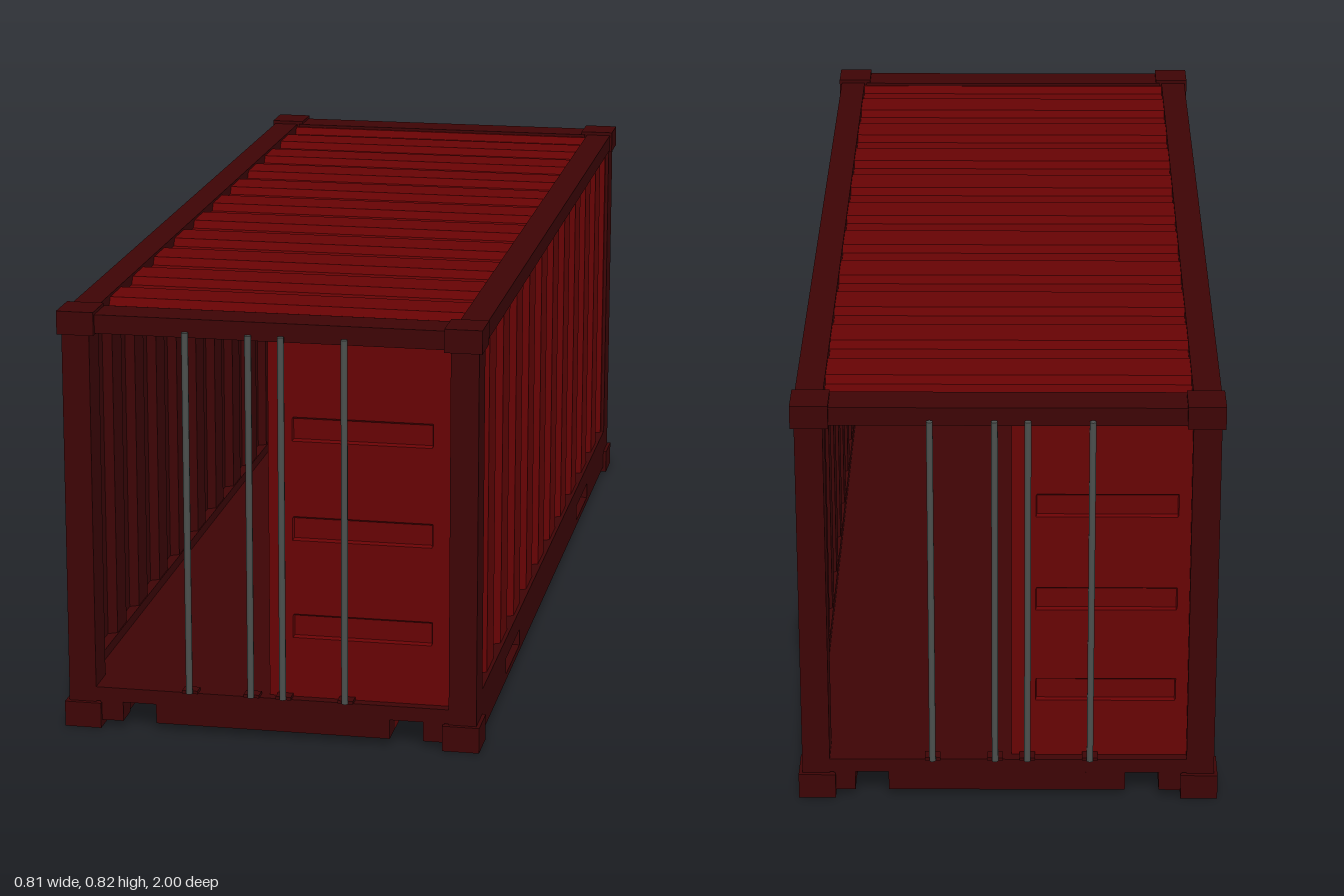
import * as THREE from 'three';

const mat = (name, color, side = THREE.FrontSide) => {
  const m = new THREE.MeshStandardMaterial({ color, side });
  m.name = name;
  return m;
};

export function createModel() {
  const red = mat('panel red', 0x670304, THREE.DoubleSide);
  const dark = mat('frame maroon', 0x3d0405, THREE.DoubleSide);
  const steel = mat('steel grey', 0x4b4f4d);
  const root = new THREE.Group();
  root.name = 'shippingContainer';

  const add = (name, geo, material, parent = root, x = 0, y = 0, z = 0) => {
    const m = new THREE.Mesh(geo, material);
    m.name = name;
    m.position.set(x, y, z);
    parent.add(m);
    return m;
  };
  // box given by its limits on each axis
  const box = (name, material, [x0, x1], [y0, y1], [z0, z1], parent = root) =>
    add(name, new THREE.BoxGeometry(x1 - x0, y1 - y0, z1 - z0), material, parent,
      (x0 + x1) / 2, (y0 + y1) / 2, (z0 + z1) / 2);
  const span = (s, a, b) => (s > 0 ? [a, b] : [-b, -a]);

  // trapezoid corrugation along z: [z, height], 1 on the ribs and 0 in the valleys
  const profile = [[-0.94, 1]];
  for (let k = 0; k <= 10; k++) {
    const z = -0.9 + k * 0.1722;
    profile.push([z - 0.005, 1], [z + 0.005, 0], [z + 0.075, 0], [z + 0.085, 1]);
  }
  profile.push([0.94, 1]);

  // sheet swept between two edges; place(t, z, h) gives the point, t = 0 or 1
  const sheet = (place) => {
    const pos = [];
    for (let i = 0; i < profile.length - 1; i++) {
      const [a, b] = [profile[i], profile[i + 1]];
      const p = [place(0, ...a), place(0, ...b), place(1, ...b), place(1, ...a)];
      for (const j of [0, 1, 2, 0, 2, 3]) pos.push(...p[j]);
    }
    const g = new THREE.BufferGeometry();
    g.setAttribute('position', new THREE.Float32BufferAttribute(pos, 3));
    g.computeVertexNormals();
    return g;
  };

  // each corrugated sheet is red outside, with a dark lining just inside it
  const panel = (name, place, dx, dy) => {
    const geo = sheet(place);
    add(name, geo, red);
    add(name + 'Lining', geo, dark, root, dx, dy);
  };
  panel('roof', (t, z, h) => [-0.35 + 0.7 * t, 0.795 + 0.015 * h, z], 0, -0.004);
  panel('leftWall', (t, z, h) => [0.372 + 0.017 * h, 0.78 - 0.7 * t, z], -0.004, 0);
  panel('rightWall', (t, z, h) => [-0.372 - 0.017 * h, 0.08 + 0.7 * t, z], 0.004, 0);

  // bottom side rail with two fork pockets cut through
  const railShape = new THREE.Shape();
  railShape.moveTo(-0.93, 0.012).lineTo(0.93, 0.012).lineTo(0.93, 0.1).lineTo(-0.93, 0.1).closePath();
  for (const c of [-0.525, 0.525]) {
    const h = new THREE.Path();
    h.moveTo(c - 0.09, 0.025).lineTo(c - 0.09, 0.058).lineTo(c + 0.09, 0.058).lineTo(c + 0.09, 0.025).closePath();
    railShape.holes.push(h);
  }
  const railGeo = new THREE.ExtrudeGeometry(railShape, { depth: 0.03, bevelEnabled: false });
  railGeo.rotateY(Math.PI / 2);

  // floor and underside, with a long red-sided groove along each side
  box('floor', dark, [-0.37, 0.37], [0.052, 0.08], [-0.975, 0.975]);
  box('underPan', dark, [-0.223, 0.228], [0.014, 0.052], [-0.97, 0.97]);
  box('grooveSide', red, [0.228, 0.23], [0.014, 0.052], [-0.93, 0.93]);
  box('grooveSide', red, [-0.225, -0.223], [0.014, 0.052], [-0.93, 0.93]);

  for (const s of [1, -1]) {
    const side = s > 0 ? 'left' : 'right';
    add(side + 'BottomRail', railGeo, dark, root, s > 0 ? 0.366 : -0.396);
    box(side + 'UnderRail', dark, span(s, 0.293, 0.365), [0.014, 0.052], [-0.93, 0.93]);
    box(side + 'TopRail', dark, span(s, 0.345, 0.398), [0.78, 0.815], [-0.93, 0.93]);
    for (const e of [1, -1]) {
      const end = e > 0 ? 'Front' : 'Back';
      box(side + end + 'Post', dark, span(s, 0.343, 0.396), [0.04, 0.79], span(e, 0.915, 0.985));
      for (const [y0, y1] of [[0, 0.05], [0.777, 0.822]])
        box(side + end + 'CornerCasting', dark, span(s, 0.332, 0.403), [y0, y1], span(e, 0.915, 0.994));
    }
  }

  // sills and headers at both ends
  for (const e of [1, -1]) {
    const end = e > 0 ? 'front' : 'back';
    box(end + 'Header', dark, [-0.34, 0.34], [0.78, 0.816], span(e, 0.91, 0.985));
    box(end + 'Sill', dark, [-0.345, 0.345], [0.052, 0.08], span(e, 0.93, 0.985));
    for (const [a, b] of [[-0.335, -0.29], [-0.225, 0.23], [0.294, 0.335]])
      box(end + 'SillFoot', dark, [a, b], [0.014, 0.052], span(e, 0.93, 0.985));
  }

  // door leaf: a flat grid whose bands are pressed slightly inwards
  const xs = [0, 0.046, 0.048, 0.312, 0.314, 0.352];
  const ys = [0.08];
  for (const b of [0.2, 0.393, 0.587]) ys.push(b - 0.002, b + 0.002, b + 0.041, b + 0.045);
  ys.push(0.785);
  let doorGeo = new THREE.PlaneGeometry(1, 1, xs.length - 1, ys.length - 1);
  const p = doorGeo.attributes.position;
  for (let i = 0; i < p.count; i++) {
    const c = i % xs.length;
    const r = ys.length - 1 - Math.floor(i / xs.length);
    const pressed = (c === 2 || c === 3) && (r % 4 === 2 || r % 4 === 3);
    p.setXYZ(i, xs[c], ys[r], pressed ? 0.959 : 0.965);
  }
  doorGeo = doorGeo.toNonIndexed();
  doorGeo.computeVertexNormals();
  const barGeo = new THREE.CylinderGeometry(0.0065, 0.0065, 0.71, 10);

  // one open half, one closed leaf and four locking bars at each end
  for (const [name, turn] of [['frontDoor', 0], ['backDoor', Math.PI]]) {
    const g = new THREE.Group();
    g.name = name;
    g.position.x = -0.006;
    g.rotation.y = turn;
    root.add(g);
    add('doorLeaf', doorGeo, red, g);
    for (const x of [-0.151, -0.031, 0.031, 0.151]) {
      add('lockingBar', barGeo, steel, g, x, 0.437, 0.9935);
      box('barBracket', dark, [x - 0.015, x + 0.015], [0.08, 0.086], [0.965, 0.99], g);
    }
  }
  return root;
}
